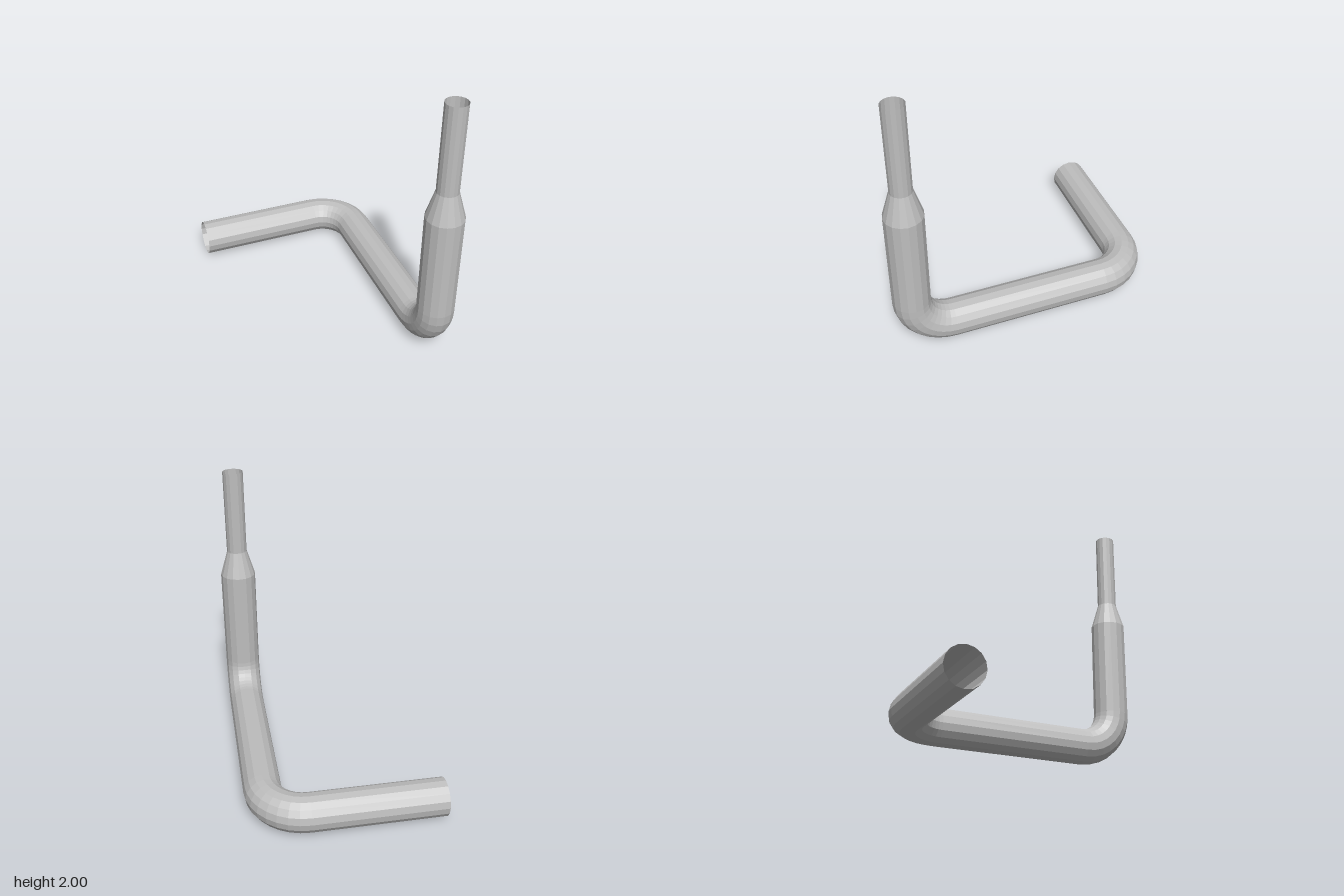
import * as THREE from 'three';

const R = 0.135;      // pipe radius
const BEND = 0.285;   // bend radius along the pipe axis
const SIDES = 16;
const PX = 0.55, PY = 0.135, PZ = 0.865; // pipe axis offsets

export function createModel() {
  const group = new THREE.Group();
  group.name = 'bentPipe';
  const metal = new THREE.MeshStandardMaterial({ color: 0xbebebe, flatShading: true, side: THREE.DoubleSide });
  metal.name = 'grey metal';

  const add = (name, geometry) => {
    const mesh = new THREE.Mesh(geometry, metal);
    mesh.name = name;
    group.add(mesh);
    return mesh;
  };

  // Open straight tube between two points, with a radius at each end
  const straight = (name, from, to, r0 = R, r1 = R) => {
    const a = new THREE.Vector3(...from), b = new THREE.Vector3(...to);
    const dir = b.clone().sub(a);
    const mesh = add(name, new THREE.CylinderGeometry(r1, r0, dir.length(), SIDES, 1, true));
    mesh.position.copy(a).add(b).multiplyScalar(0.5);
    mesh.quaternion.setFromUnitVectors(new THREE.Vector3(0, 1, 0), dir.normalize());
  };

  // Quarter-turn elbow sweeping from direction u to direction v about its centre
  const elbow = (name, center, u, v) => {
    const x = new THREE.Vector3(...u), y = new THREE.Vector3(...v);
    const frame = new THREE.Matrix4().makeBasis(x, y, x.clone().cross(y)).setPosition(...center);
    add(name, new THREE.TorusGeometry(BEND, R, SIDES, 8, Math.PI / 2).applyMatrix4(frame));
  };

  // Upright: narrow neck, taper and full-width riser
  straight('neck', [PX, 1.37, PZ], [PX, 2, PZ], 0.077, 0.077);
  straight('taper', [PX, 1.175, PZ], [PX, 1.37, PZ], R, 0.077);
  straight('riser', [PX, PY + BEND, PZ], [PX, 1.175, PZ]);

  // Lower run along the ground and the side branch at the back
  elbow('frontElbow', [PX, PY + BEND, PZ - BEND], [0, 0, 1], [0, -1, 0]);
  straight('longRun', [PX, PY, PZ - BEND], [PX, PY, BEND - PZ]);
  elbow('backElbow', [PX - BEND, PY, BEND - PZ], [1, 0, 0], [0, 0, -1]);
  straight('sideRun', [PX - BEND, PY, -PZ], [-0.685, PY, -PZ]);

  return group;
}
